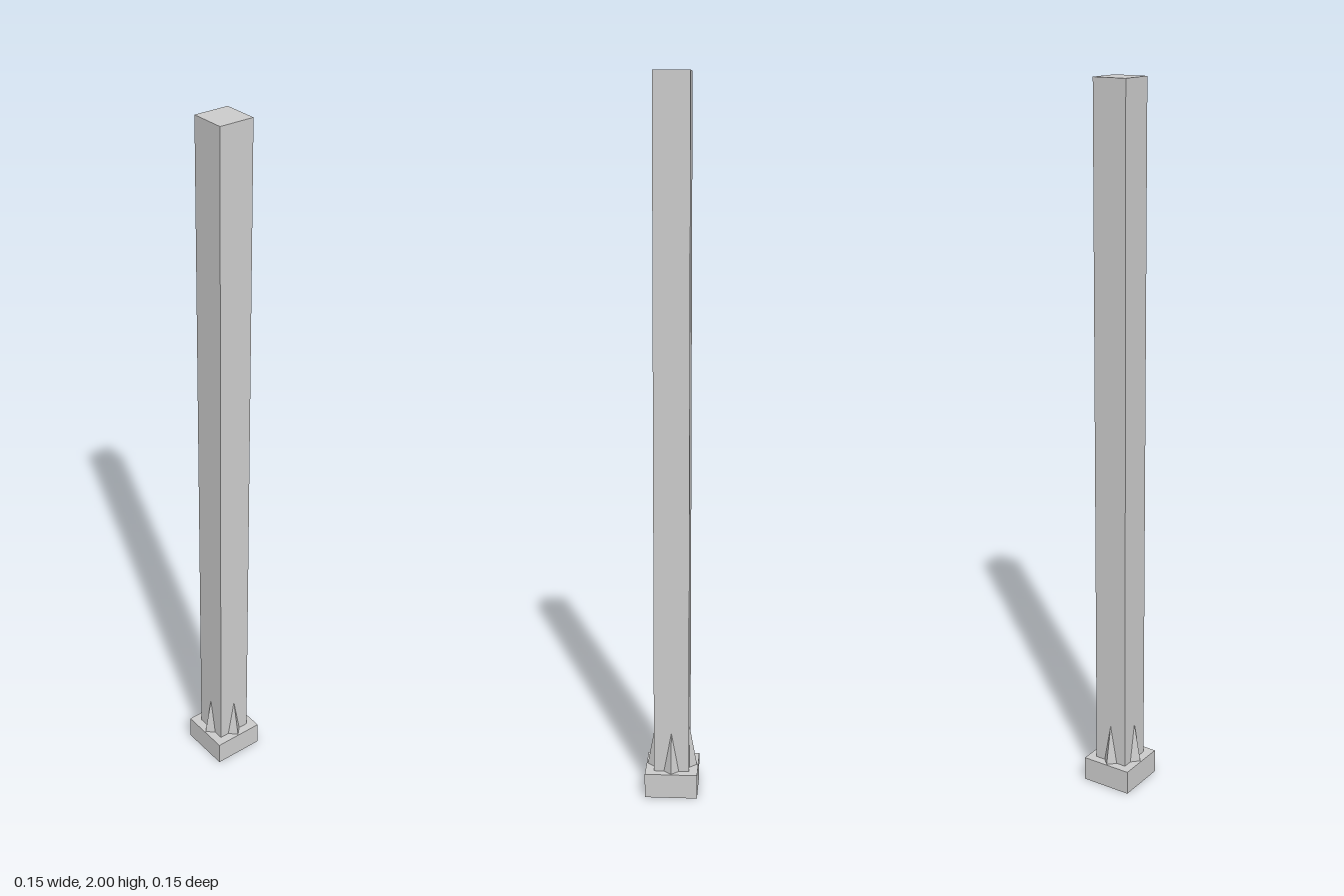
import * as THREE from 'three';

const POST = 0.099, BASE = 0.148, BASE_H = 0.07, HEIGHT = 2;
const SPIKE_R = 0.021, SPIKE_H = 0.115;

export function createModel() {
  const group = new THREE.Group();
  const material = new THREE.MeshStandardMaterial({ color: 0xcccccc, flatShading: true });
  const add = (name, geometry, x, y, z) => {
    const mesh = new THREE.Mesh(geometry, material);
    mesh.name = name;
    mesh.position.set(x, y, z);
    group.add(mesh);
  };

  // Square foot block and the tall post standing on it
  add('base', new THREE.BoxGeometry(BASE, BASE_H, BASE), 0, BASE_H / 2, 0);
  add('post', new THREE.BoxGeometry(POST, HEIGHT - BASE_H, POST), 0, (HEIGHT + BASE_H) / 2, 0);

  // One pointed brace centred on each face of the post, half sunk into it
  const spike = new THREE.ConeGeometry(SPIKE_R, SPIKE_H, 4);
  ['front', 'left', 'back', 'right'].forEach((side, i) => {
    const a = (i * Math.PI) / 2;
    add(side + 'Brace', spike, Math.sin(a) * POST / 2, BASE_H + SPIKE_H / 2, Math.cos(a) * POST / 2);
  });
  return group;
}
